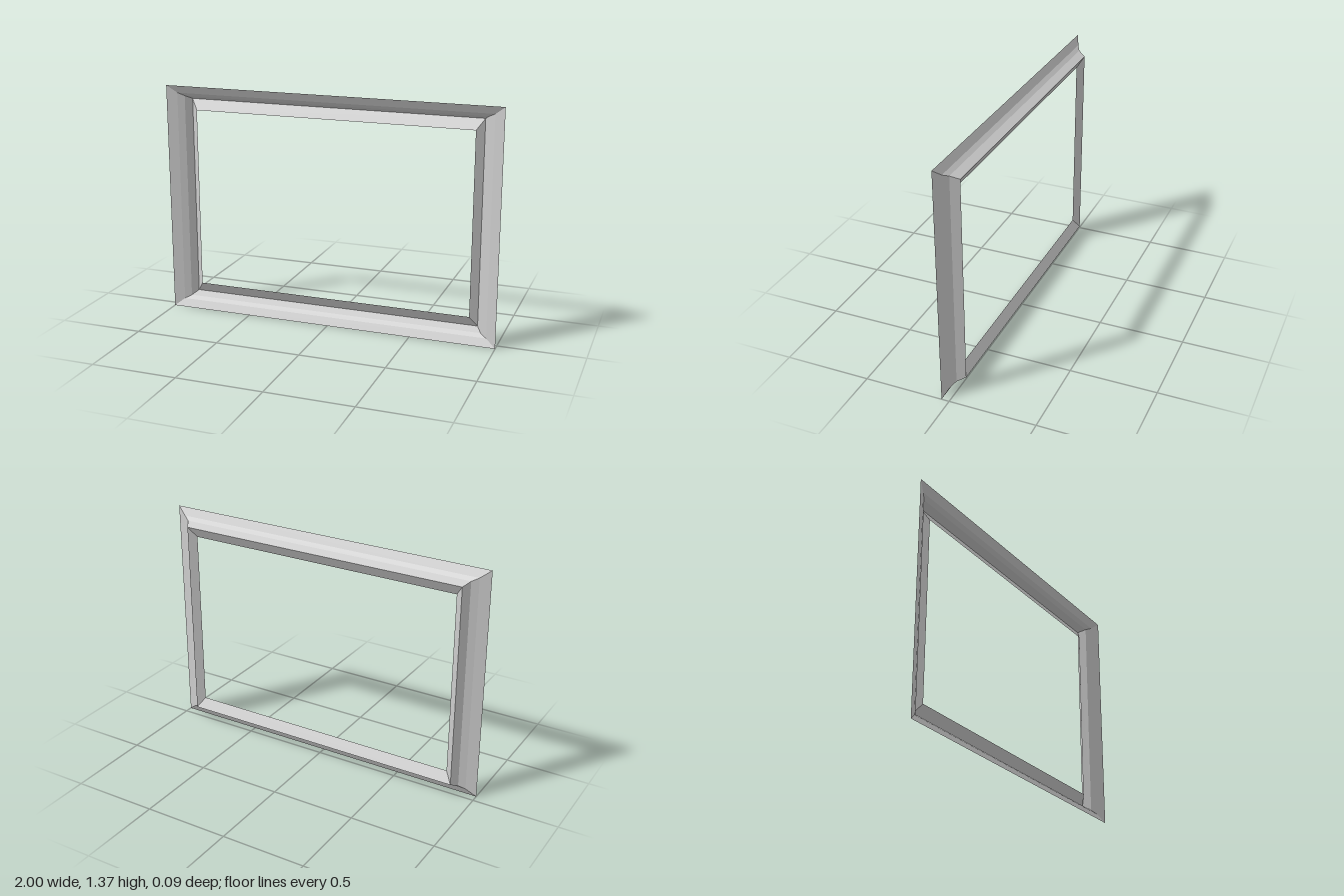
import * as THREE from 'three';

const HALF_W = 1, HEIGHT = 1.37;

// Rectangular loop of corners, inset from the outer edge: [inset x, inset y, z]
function corners([ix, iy, z]) {
  const x = HALF_W - ix, y0 = iy, y1 = HEIGHT - iy;
  return [[-x, y0, z], [x, y0, z], [x, y1, z], [-x, y1, z]];
}

// One mitred rail: flat bands between successive profile loops
function railGeometry(profile, side) {
  const positions = [];
  const next = (side + 1) % 4;
  for (let i = 0; i < profile.length - 1; i++) {
    const outer = corners(profile[i]), inner = corners(profile[i + 1]);
    const a = outer[side], b = outer[next], c = inner[next], d = inner[side];
    positions.push(...a, ...b, ...c, ...a, ...c, ...d);
  }
  const geometry = new THREE.BufferGeometry();
  geometry.setAttribute('position', new THREE.Float32BufferAttribute(positions, 3));
  geometry.computeVertexNormals();
  return geometry;
}

export function createModel() {
  const model = new THREE.Group();
  model.name = 'pictureFrame';
  const grey = new THREE.MeshStandardMaterial({ color: 0xcccccc, side: THREE.DoubleSide, flatShading: true });
  grey.name = 'light grey';

  // Curved moulding sweeping back, then the inner lip returning forward
  const moulding = [[0, 0, 0.045], [0.058, 0.045, 0.021], [0.095, 0.064, 0], [0.123, 0.086, -0.045]];
  const lip = [moulding[3], [0.166, 0.148, -0.01]];

  ['bottom', 'left', 'top', 'right'].forEach((name, side) => {
    const rail = new THREE.Group();
    rail.name = name + 'Rail';
    for (const [part, profile] of [['Moulding', moulding], ['Lip', lip]]) {
      const mesh = new THREE.Mesh(railGeometry(profile, side), grey);
      mesh.name = name + part;
      rail.add(mesh);
    }
    model.add(rail);
  });
  return model;
}
